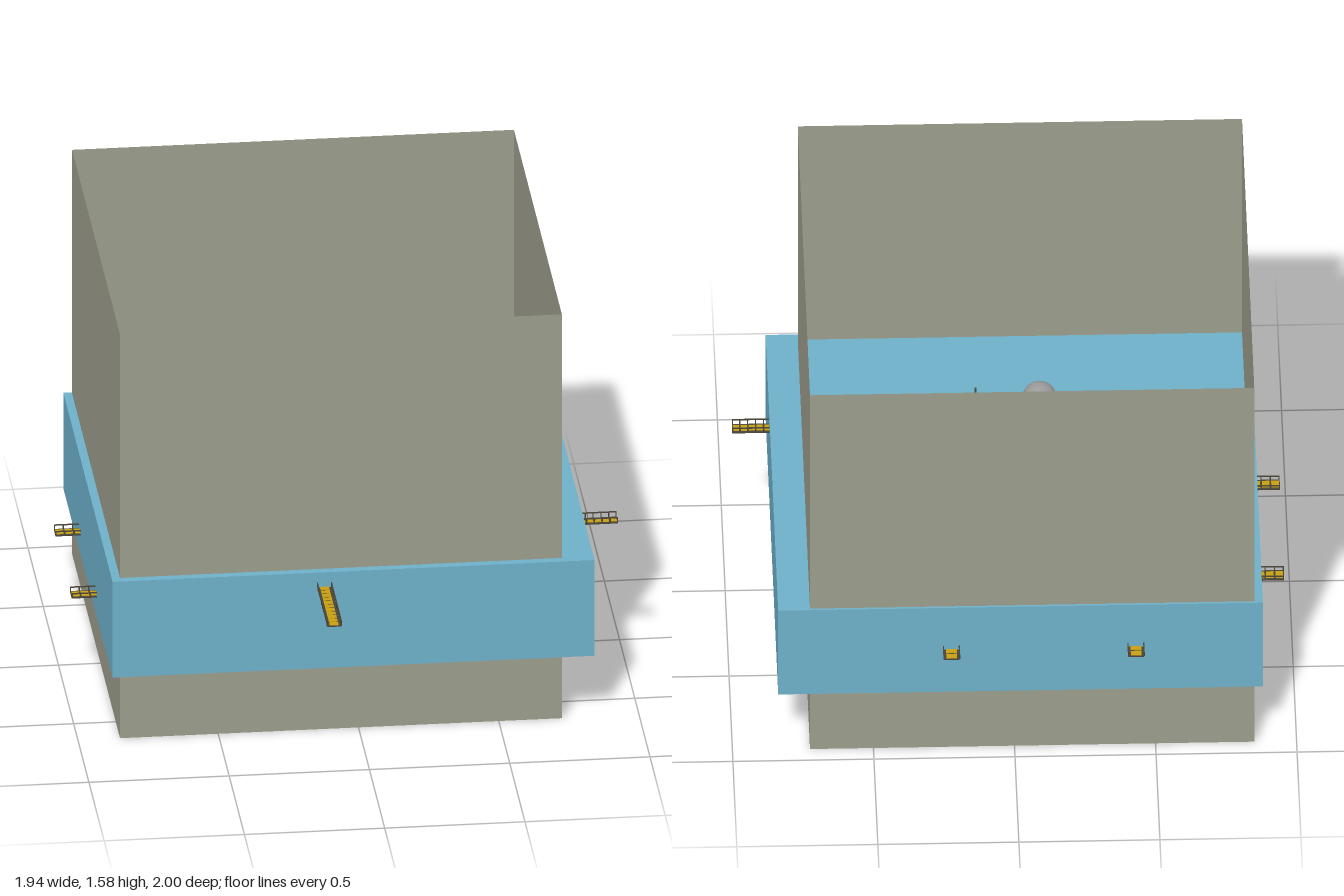
import * as THREE from 'three';

const mat = (name, color, extra = {}) => new THREE.MeshStandardMaterial({ name, color, ...extra });

export function createModel() {
  const wallMat = mat('wall olive grey', 0x9b9d8b, { side: THREE.DoubleSide });
  const waterMat = mat('water blue', 0x6eb0ca);
  const deckMat = mat('deck grey', 0x9a9a9a);
  const yellowMat = mat('tread yellow', 0xc8a010);
  const darkMat = mat('frame dark', 0x4a4538);
  const railMat = mat('rail grey', 0x77736c);

  const model = new THREE.Group();
  model.name = 'floodedTank';
  const WATER = 0.625;

  // Box given by its limits on each axis
  function box(parent, name, material, x0, x1, y0, y1, z0, z1) {
    const mesh = new THREE.Mesh(new THREE.BoxGeometry(x1 - x0, y1 - y0, z1 - z0), material);
    mesh.position.set((x0 + x1) / 2, (y0 + y1) / 2, (z0 + z1) / 2);
    mesh.name = name;
    parent.add(mesh);
    return mesh;
  }
  function group(name, x = 0, y = 0, z = 0) {
    const g = new THREE.Group();
    g.name = name;
    g.position.set(x, y, z);
    model.add(g);
    return g;
  }

  // Open-topped tank: four thin walls and a floor
  const tank = group('tank');
  const X0 = -0.85, X1 = 0.725, Z0 = -0.935, Z1 = 0.64, H = 1.575;
  function panel(name, w, h, x, y, z, rx, ry) {
    const mesh = new THREE.Mesh(new THREE.PlaneGeometry(w, h), wallMat);
    mesh.position.set(x, y, z);
    mesh.rotation.set(rx, ry, 0);
    mesh.name = name;
    tank.add(mesh);
  }
  const cx = (X0 + X1) / 2, cz = (Z0 + Z1) / 2;
  panel('frontWall', X1 - X0, H, cx, H / 2, Z1, 0, 0);
  panel('backWall', X1 - X0, H, cx, H / 2, Z0, 0, Math.PI);
  panel('leftWall', Z1 - Z0, H, X1, H / 2, cz, 0, Math.PI / 2);
  panel('rightWall', Z1 - Z0, H, X0, H / 2, cz, 0, -Math.PI / 2);
  panel('tankFloor', X1 - X0, Z1 - Z0, cx, 0, cz, Math.PI / 2, 0);

  // Water slab, wider than the tank
  box(model, 'water', waterMat, -0.88, 0.838, 0.252, WATER, -0.944, 0.671);

  // Walkway running along its own +z: yellow treads between open side rails
  function walkway(name, x, y, z, angle, length, width, height) {
    const g = group(name, x, y, z);
    g.rotation.y = angle;
    const w = width / 2, t = 0.004;
    const count = Math.round(length / 0.029), step = length / count;
    box(g, 'walkwayBed', darkMat, -w, w, 0, t, 0, length);
    for (let i = 0; i < count; i++) {
      box(g, 'tread', yellowMat, -w + 0.009, w - 0.009, t, t + 0.002, i * step + 0.003, (i + 1) * step - 0.003);
    }
    for (const s of [-1, 1]) {
      const a = s * w - t / 2, b = s * w + t / 2;
      box(g, 'topRail', darkMat, a, b, height - t, height, 0, length);
      for (let i = 0; i <= count; i++) {
        const p = Math.min(Math.max(i * step, t / 2), length - t / 2);
        box(g, 'railPost', darkMat, a, b, t, height - t, p - t / 2, p + t / 2);
      }
    }
    return g;
  }
  const Q = Math.PI / 2;
  walkway('frontWalkway', -0.125, 0.563, 0.668, 0, 0.332, 0.05, 0.023);
  walkway('leftWalkway', 0.83, 0.561, 0.207, Q, 0.14, 0.05, 0.025);
  for (const z of [-0.4, 0.13]) walkway('rightWalkway', -0.87, 0.33, z, -Q, 0.1, 0.056, 0.021);
  for (const x of [-0.43, 0.224]) walkway('backWalkway', x, 0.435, -0.936, Math.PI, 0.064, 0.056, 0.021);
  walkway('innerWalkway', 0.08, WATER + 0.03, 0.012, Q, 0.175, 0.02, 0.018);

  // Control deck with a console, a stool and a tilted case
  const control = group('controlDeck');
  const D = 0.66;
  box(control, 'deck', deckMat, 0.165, 0.355, WATER, D, -0.318, -0.07);
  box(control, 'console', railMat, 0.183, 0.332, D, D + 0.03, -0.312, -0.27);
  for (let i = 0; i < 4; i++) {
    const x = 0.205 + i * 0.035;
    box(control, 'consoleKey', deckMat, x - 0.013, x + 0.013, D + 0.03, D + 0.034, -0.305, -0.277);
  }
  box(control, 'stool', waterMat, 0.192, 0.222, D, D + 0.02, -0.208, -0.178);
  const caseMesh = box(control, 'case', darkMat, 0.268, 0.332, D, D + 0.02, -0.15, -0.105);
  const caseLid = box(control, 'caseLid', deckMat, 0.274, 0.326, D + 0.02, D + 0.024, -0.144, -0.111);
  caseMesh.rotation.y = caseLid.rotation.y = 0.75;

  // Living deck with a bed and a shelf
  const living = group('livingDeck');
  box(living, 'deck', deckMat, -0.498, -0.265, WATER, D, -0.053, 0.135);
  box(living, 'bedFrame', darkMat, -0.493, -0.405, D, D + 0.015, -0.04, 0.02);
  box(living, 'mattress', deckMat, -0.488, -0.41, D + 0.015, D + 0.022, -0.035, 0.015);
  box(living, 'shelf', railMat, -0.388, -0.293, D, D + 0.03, -0.04, -0.012);
  box(living, 'box', railMat, -0.492, -0.478, D, D + 0.015, 0.05, 0.075);

  // Round float
  const float = new THREE.Mesh(new THREE.SphereGeometry(0.061, 32, 20), deckMat);
  float.position.set(-0.12, WATER + 0.05, 0.21);
  float.name = 'float';
  model.add(float);

  // Pipes joining the decks: [xStart, zStart, xEnd, zEnd]
  const pipes = group('pipes');
  for (const [xa, za, xb, zb] of [
    [-0.495, -0.213, -0.31, -0.213], [-0.31, -0.213, -0.31, -0.055],
    [-0.31, -0.122, 0.066, -0.122], [-0.31, -0.065, 0.066, -0.065],
    [0.066, -0.213, 0.066, 0.025], [0.066, -0.213, 0.165, -0.213], [0.066, 0.025, 0.108, 0.025],
  ]) box(pipes, 'pipe', railMat, xa - 0.004, xb + 0.004, 0.645, 0.653, za - 0.004, zb + 0.004);

  // Long fence with small posts
  const fence = group('fence');
  box(fence, 'fenceRail', darkMat, 0.102, 0.108, 0.67, 0.676, -0.457, 0.277);
  for (let i = 0; i <= 20; i++) {
    const z = -0.454 + i * 0.0364;
    box(fence, 'fencePost', darkMat, 0.101, 0.109, WATER, 0.67, z - 0.003, z + 0.003);
  }
  return model;
}
